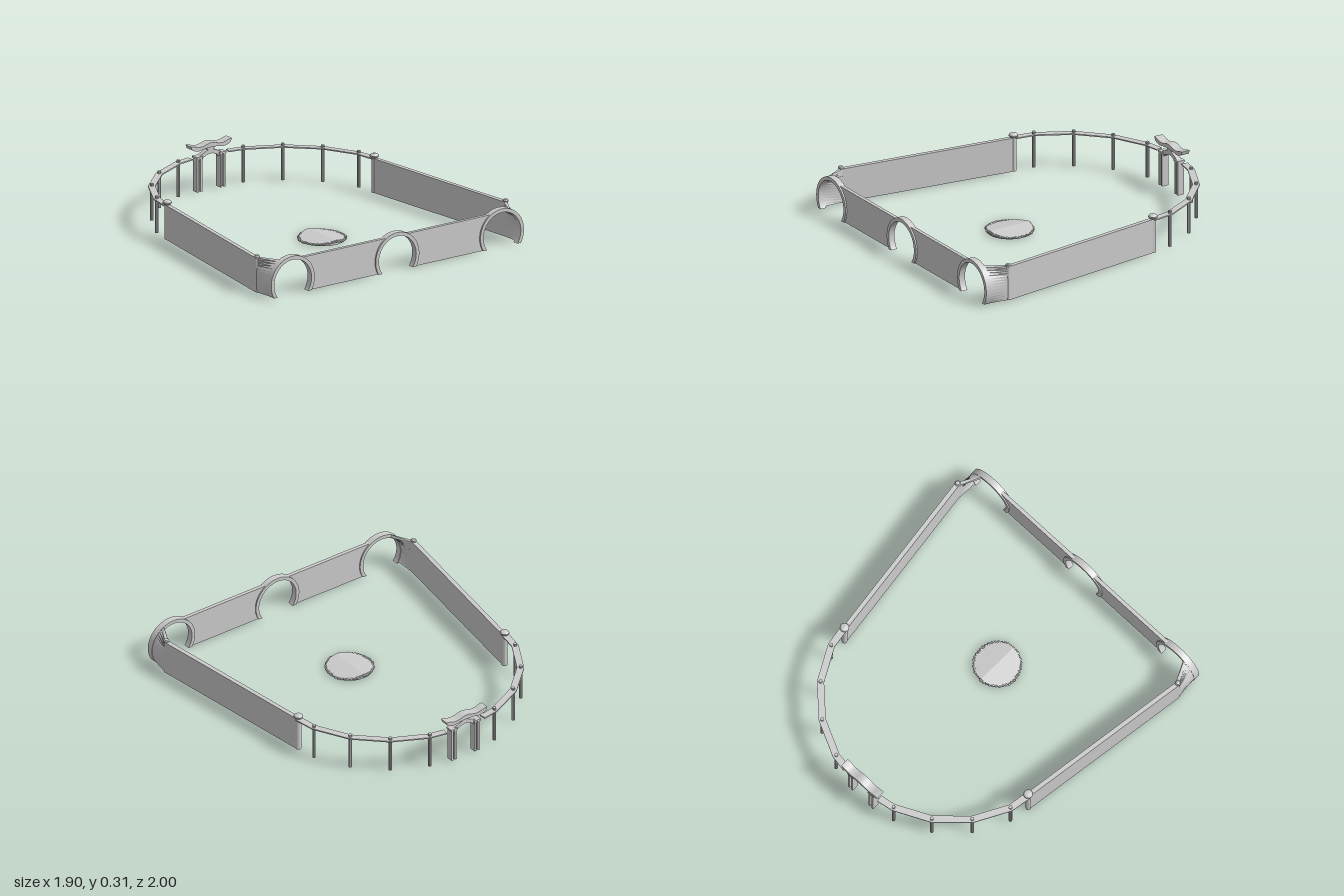
import * as THREE from 'three';

const material = new THREE.MeshStandardMaterial({ color: 0xcccccc, flatShading: true, side: THREE.DoubleSide });
const BASE = 0.01, WALL_TOP = 0.23;      // walls
const ARCH_Y = 0.092, R_OUT = 0.163, R_IN = 0.14, SIDE_X = 0.785;   // moon gates
const baseAngle = (r) => Math.asin((BASE - ARCH_Y) / r);

export function createModel() {
  const group = new THREE.Group();

  const add = (name, geometry, x = 0, y = 0, z = 0) => {
    const mesh = new THREE.Mesh(geometry, material);
    mesh.name = name;
    mesh.position.set(x, y, z);
    group.add(mesh);
    return mesh;
  };
  const extrude = (shape, depth) =>
    new THREE.ExtrudeGeometry(shape, { depth, bevelEnabled: false, curveSegments: 28 });

  // Box running between two ground points
  const span = (name, [x1, z1], [x2, z2], y0, y1, width) => {
    const length = Math.hypot(x2 - x1, z2 - z1);
    const mesh = add(name, new THREE.BoxGeometry(width, y1 - y0, length), (x1 + x2) / 2, (y0 + y1) / 2, (z1 + z2) / 2);
    mesh.rotation.y = Math.atan2(x2 - x1, z2 - z1);
  };

  // Round gate frames in the front wall
  for (const cx of [-SIDE_X, 0, SIDE_X]) {
    const a = baseAngle(R_OUT), b = baseAngle(R_IN);
    const ring = new THREE.Shape();
    ring.absarc(0, ARCH_Y, R_OUT, a, Math.PI - a, false);
    ring.absarc(0, ARCH_Y, R_IN, Math.PI - b, b, true);
    add('gateRing', extrude(ring, 0.042), cx, 0, 0.955);
  }

  // Corner panel: straight at the post, curved where it meets the gate frame
  const cornerPanel = (s) => {
    const n = 14, section = [];
    const a0 = baseAngle(0.16), a1 = 1.11;
    for (let i = 0; i <= n; i++) section.push({ t: i / n, r: 0.16, px: 0.943 });
    for (let i = n; i >= 0; i--) section.push({ t: i / n, r: 0.144, px: 0.918 });
    const points = [], index = [];
    for (const { t, r, px } of section) {
      const a = a0 + (a1 - a0) * t;
      points.push(s * px, BASE + (WALL_TOP - BASE) * t, 0.825);
      points.push(s * (SIDE_X + r * Math.cos(a)), Math.max(BASE, ARCH_Y + r * Math.sin(a)), 0.96);
    }
    for (let i = 0; i < section.length; i++) {
      const a = 2 * i, b = 2 * ((i + 1) % section.length);
      if (s > 0) index.push(a, b, a + 1, b, b + 1, a + 1);
      else index.push(a, a + 1, b, b, a + 1, b + 1);
    }
    const geometry = new THREE.BufferGeometry();
    geometry.setAttribute('position', new THREE.Float32BufferAttribute(points, 3));
    geometry.setIndex(index);
    geometry.computeVertexNormals();
    return geometry;
  };

  // Small domed cap on a post
  const cap = (r, h) => new THREE.LatheGeometry(
    [[0, 0], [0.75, 0], [1, 0.3], [1, 0.55], [0.7, 0.85], [0, 1]].map(([x, y]) => new THREE.Vector2(x * r, y * h)), 14);

  const railPoints = [[0.78, -0.325], [0.758, -0.46], [0.642, -0.675], [0.463, -0.845], [0.243, -0.952], [0.14, -0.97]];

  // Flat mitred handrail following the back curve
  const handrail = (s) => {
    const inner = [], outer = [];
    railPoints.forEach(([x, z], i) => {
      const p = railPoints[Math.max(i - 1, 0)], q = railPoints[Math.min(i + 1, railPoints.length - 1)];
      const dx = q[0] - p[0], dz = q[1] - p[1], l = Math.hypot(dx, dz), w = 0.022;
      outer.push(new THREE.Vector2(s * (x - dz / l * w), -(z + dx / l * w)));
      inner.unshift(new THREE.Vector2(s * (x + dz / l * w), -(z - dx / l * w)));
    });
    return extrude(new THREE.Shape([...outer, ...inner]), 0.008).rotateX(-Math.PI / 2);
  };

  for (const s of [-1, 1]) {
    // Front wall between the centre gate and a side gate
    const r = 0.15, low = baseAngle(r), high = Math.asin((WALL_TOP - ARCH_Y) / r);
    const wall = new THREE.Shape();
    wall.absarc(0, ARCH_Y, r, low, high, false);
    wall.absarc(SIDE_X, ARCH_Y, r, Math.PI - high, Math.PI - low, false);
    add('frontWall', extrude(wall, 0.024), s > 0 ? 0 : -SIDE_X, 0, 0.963);

    add('cornerPanel', cornerPanel(s));
    span('sideWall', [s * 0.932, 0.825], [s * 0.777, -0.325], BASE, WALL_TOP, 0.028);

    // Wall end posts and caps
    add('frontPost', new THREE.CylinderGeometry(0.014, 0.014, 0.22, 12), s * 0.932, 0.12, 0.828);
    add('frontPostCap', cap(0.018, 0.022), s * 0.932, 0.226, 0.828);
    add('rearPost', new THREE.CylinderGeometry(0.018, 0.018, 0.225, 12), s * 0.777, 0.1225, -0.325);
    add('rearPostCap', cap(0.029, 0.028), s * 0.777, 0.232, -0.325);

    // Back fence
    add('handrail', handrail(s), 0, 0.222, 0);
    for (const [x, z] of railPoints.slice(1, 5))
      add('fencePost', new THREE.CylinderGeometry(0.011, 0.011, 0.235, 10), s * x, 0.1275, z);

    // Paired gateway posts
    for (const x of [0.074, 0.1])
      add('gatewayPost', new THREE.BoxGeometry(0.013, 0.225, 0.045), s * x, 0.1225, -0.967);
    add('gatewayPostHead', new THREE.BoxGeometry(0.048, 0.012, 0.05), s * 0.087, 0.23, -0.967);
  }

  // Gateway lintel with upswept ends
  const lintel = new THREE.Shape();
  lintel.moveTo(-0.153, 0.312);
  lintel.bezierCurveTo(-0.11, 0.308, -0.11, 0.296, -0.075, 0.297);
  lintel.bezierCurveTo(-0.04, 0.298, -0.03, 0.312, 0, 0.312);
  lintel.bezierCurveTo(0.03, 0.312, 0.04, 0.298, 0.075, 0.297);
  lintel.bezierCurveTo(0.11, 0.296, 0.11, 0.308, 0.153, 0.312);
  lintel.lineTo(0.145, 0.29);
  lintel.quadraticCurveTo(0.12, 0.272, 0.09, 0.273);
  lintel.quadraticCurveTo(0, 0.292, -0.09, 0.273);
  lintel.quadraticCurveTo(-0.12, 0.272, -0.145, 0.29);
  add('gatewayLintel', extrude(lintel, 0.057), 0, 0, -1);

  // Waisted brace between the lintel and the gateway arch
  const brace = new THREE.Shape();
  brace.moveTo(-0.068, 0.284);
  brace.quadraticCurveTo(-0.015, 0.275, -0.02, 0.264);
  brace.quadraticCurveTo(-0.06, 0.252, -0.09, 0.23);
  brace.lineTo(-0.08, 0.19);
  brace.quadraticCurveTo(-0.055, 0.235, 0, 0.24);
  brace.quadraticCurveTo(0.055, 0.235, 0.08, 0.19);
  brace.lineTo(0.09, 0.23);
  brace.quadraticCurveTo(0.06, 0.252, 0.02, 0.264);
  brace.quadraticCurveTo(0.015, 0.275, 0.068, 0.284);
  add('gatewayBrace', extrude(brace, 0.03), 0, 0, -0.982);

  // Pond: round surface folded along a centre ridge
  const pond = new THREE.CylinderGeometry(0.142, 0.142, 0.01, 48);
  const p = pond.attributes.position;
  for (let i = 0; i < p.count; i++) {
    const top = p.getY(i) > 0;
    p.setY(i, top ? 0.012 + 0.02 * (1 - Math.abs(p.getX(i)) / 0.142) : 0.003);
  }
  pond.computeVertexNormals();
  add('pond', pond, 0, 0, 0.21);

  // Irregular stones around the pond
  let seed = 7;
  const random = () => (seed = (seed * 16807) % 2147483647) / 2147483647;
  const stones = 44;
  for (let i = 0; i < stones; i++) {
    const a = (i / stones) * Math.PI * 2, r = 0.14 + 0.006 * random();
    const x = r * Math.cos(a);
    const stone = add('pondStone', new THREE.DodecahedronGeometry(0.009 + 0.003 * random()),
      x, 0.01 + 0.012 * (1 - Math.abs(x) / 0.15), 0.21 + r * Math.sin(a));
    stone.scale.y = 0.75;
    stone.rotation.y = random() * 6;
  }
  return group;
}
